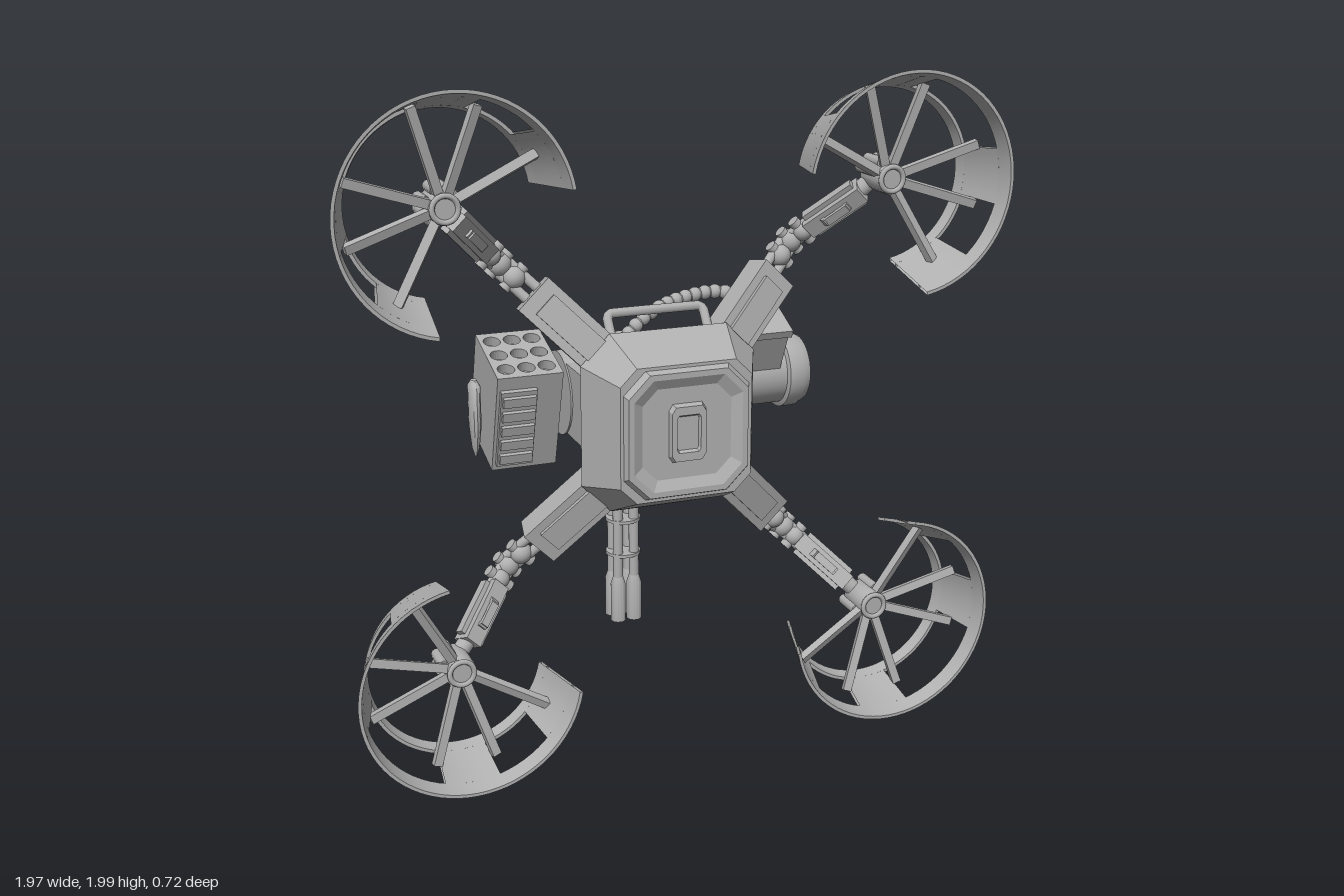
import * as THREE from 'three';
import { toCreasedNormals } from 'three/addons/utils/BufferGeometryUtils.js';

const V = (x, y, z) => new THREE.Vector3(x, y, z);
const rad = THREE.MathUtils.degToRad;
const grey = new THREE.MeshStandardMaterial({ color: 0xb0b0b0, side: THREE.DoubleSide });
grey.name = 'plain grey';

function add(parent, name, geo, x = 0, y = 0, z = 0) {
  const m = new THREE.Mesh(geo, grey);
  m.name = name;
  m.position.set(x, y, z);
  parent.add(m);
  return m;
}
const box = (p, name, w, h, d, x, y, z) => add(p, name, new THREE.BoxGeometry(w, h, d), x, y, z);

// square beam between two points
function beam(p, name, a, b, w, h) {
  const m = new THREE.Mesh(new THREE.BoxGeometry(w, h, a.distanceTo(b)), grey);
  m.name = name;
  m.position.copy(a).lerp(b, 0.5);
  m.lookAt(b);
  p.add(m);
}
// round rod between two points
function rod(p, name, a, b, r, n = 16) {
  const m = add(p, name, new THREE.CylinderGeometry(r, r, a.distanceTo(b), n));
  m.position.copy(a).lerp(b, 0.5);
  m.quaternion.setFromUnitVectors(V(0, 1, 0), b.clone().sub(a).normalize());
}
// turned part from [radius, height] points, with crisp edges
function turned(points, n = 32, start = 0, length = Math.PI * 2) {
  const g = new THREE.LatheGeometry(points.map(q => new THREE.Vector2(q[0], q[1])), n, start, length);
  return toCreasedNormals(g, 0.5);
}
// chamfered-square hull through rings of [half size, chamfer, z], back to front
function hull(rings) {
  const pos = [];
  const loops = rings.map(([h, c, z]) => {
    const e = h - c;
    return [[h, -e], [h, e], [e, h], [-e, h], [-h, e], [-h, -e], [-e, -h], [e, -h]].map(q => [q[0], q[1], z]);
  });
  for (let i = 0; i + 1 < loops.length; i++) for (let j = 0; j < 8; j++) {
    const k = (j + 1) % 8, a = loops[i][j], b = loops[i][k], c = loops[i + 1][k], d = loops[i + 1][j];
    pos.push(...a, ...b, ...c, ...a, ...c, ...d);
  }
  const first = loops[0], last = loops[loops.length - 1];
  for (let j = 1; j < 7; j++) {
    pos.push(...first[0], ...first[j + 1], ...first[j]);
    pos.push(...last[0], ...last[j], ...last[j + 1]);
  }
  const g = new THREE.BufferGeometry();
  g.setAttribute('position', new THREE.Float32BufferAttribute(pos, 3));
  g.computeVertexNormals();
  return g;
}

// section of the conical rotor guard, in degrees and z
function guardBand(p, name, a0, a1, z0, z1) {
  const r = z => 0.265 + (z - 0.15) * 0.286, t = 0.01;
  const g = turned([[r(z0), z0], [r(z1), z1], [r(z1) - t, z1], [r(z0) - t, z0], [r(z0), z0]],
    Math.ceil((a1 - a0) / 5), rad(a0 + 90), rad(a1 - a0));
  add(p, name, g.rotateX(Math.PI / 2));
}

function rotor() {
  const g = new THREE.Group();
  g.name = 'rotor';
  guardBand(g, 'guardFrontRim', -125, 125, 0.315, 0.36);
  guardBand(g, 'guardBackRim', -125, 125, 0.15, 0.185);
  for (const [a, b] of [[-125, -92], [-60, -29], [29, 60], [92, 125]]) guardBand(g, 'guardPanel', a, b, 0.185, 0.315);
  for (const deg of [-106, -63, -27, 27, 63, 106]) {
    const c = Math.cos(rad(deg)), s = Math.sin(rad(deg));
    beam(g, 'spoke', V(c * 0.03, s * 0.03, 0.205), V(c * 0.285, s * 0.285, 0.24), 0.022, 0.026);
    rod(g, 'hubLug', V(c * 0.046, s * 0.046, 0.105), V(c * 0.046, s * 0.046, 0.195), 0.017, 10);
  }
  add(g, 'hub', turned([[0, 0.1], [0.035, 0.1], [0.045, 0.12], [0.045, 0.21], [0.038, 0.23], [0, 0.23]], 20).rotateX(Math.PI / 2));
  add(g, 'hubCap', new THREE.TorusGeometry(0.036, 0.008, 8, 24), 0, 0, 0.23);
  return g;
}

// arm and rotor, built outward along local x
function arm() {
  const g = new THREE.Group();
  g.name = 'rotorArm';
  beam(g, 'upperArm', V(0.27, 0, 0.11), V(0.53, 0, 0.04), 0.09, 0.125);
  beam(g, 'upperArmCover', V(0.31, 0, 0.145), V(0.5, 0, 0.092), 0.03, 0.075);
  for (const s of [-1, 1]) {
    rod(g, 'linkRod', V(0.52, s * 0.022, 0.03), V(0.63, s * 0.022, -0.01), 0.015);
    rod(g, 'wristRod', V(0.66, s * 0.018, 0), V(0.73, s * 0.018, 0.03), 0.013);
    beam(g, 'forearmRail', V(0.72, s * 0.034, 0.025), V(0.87, s * 0.034, 0.12), 0.03, 0.016);
  }
  for (const [x, z, r] of [[0.59, 0.005, 0.034], [0.645, -0.01, 0.036], [0.69, 0.01, 0.032]]) {
    add(g, 'joint', new THREE.SphereGeometry(r, 16, 12), x, 0, z);
    rod(g, 'jointPin', V(x, -0.045, z), V(x, 0.045, z), 0.018);
  }
  beam(g, 'forearm', V(0.71, 0, 0.02), V(0.88, 0, 0.13), 0.066, 0.054);
  // small grab loop on the forearm
  const loop = [V(0.74, 0, 0.05), V(0.745, 0, 0.095), V(0.81, 0, 0.135), V(0.83, 0, 0.1)];
  for (let i = 0; i < 3; i++) beam(g, 'forearmLoop', loop[i], loop[i + 1], 0.012, 0.025);
  rod(g, 'hubMount', V(0.86, 0, 0.115), V(0.95, 0, 0.14), 0.026);
  const r = rotor();
  r.position.x = 0.941;
  g.add(r);
  return g;
}

function body() {
  const g = new THREE.Group();
  g.name = 'body';
  g.position.y = 1;
  // shell with a shallow recess in the back
  add(g, 'shell', hull([[0.15, 0.045, 0.06], [0.165, 0.045, 0.02], [0.2, 0.05, 0.015], [0.268, 0.088, 0.15], [0.2, 0.05, 0.295]]));
  // raised octagonal front frame with a sunken middle
  add(g, 'frontFrame', hull([[0.195, 0.065, 0.285], [0.182, 0.065, 0.314], [0.165, 0.058, 0.314], [0.135, 0.045, 0.298]]));
  add(g, 'hatch', hull([[0.058, 0.012, 0.29], [0.052, 0.012, 0.315], [0.036, 0.006, 0.315], [0.032, 0.004, 0.305]]))
    .scale.y = 1.55;
  for (const s of [0, Math.PI]) {
    const path = [V(-0.15, 0.23, 0.09), V(-0.15, 0.285, 0.05), V(-0.135, 0.298, 0.04),
      V(0.135, 0.298, 0.04), V(0.15, 0.285, 0.05), V(0.15, 0.23, 0.09)];
    add(g, 'handle', new THREE.TubeGeometry(new THREE.CatmullRomCurve3(path, false, 'catmullrom', 0.1), 40, 0.015, 8))
      .rotation.z = s;
  }
  add(g, 'rearMount', turned([[0, -0.07], [0.11, -0.07], [0.11, -0.02], [0.105, 0.02], [0.066, 0.085], [0.06, 0.1],
    [0.05, 0.2], [0, 0.2]]).rotateX(-Math.PI / 2));
  return g;
}

// turret slung behind the body
function turret() {
  const g = new THREE.Group();
  g.name = 'turret';
  g.position.set(0, 1, -0.2);
  for (const s of [-1, 1]) {
    box(g, 'yokeArm', 0.05, 0.22, 0.24, s * 0.195, 0, 0.1);
    rod(g, 'yokeRing', V(s * 0.17, 0, 0), V(s * 0.225, 0, 0), 0.13, 32);
    rod(g, 'braceRod', V(-0.2, s * 0.04, 0.135), V(0.2, s * 0.04, 0.135), 0.009);
  }
  rod(g, 'crossDrum', V(-0.28, 0, -0.045), V(0.26, 0, -0.045), 0.076, 32);
  // side drum with a hollow lens end
  add(g, 'sideDrum', turned([[0, 0.22], [0.1, 0.22], [0.1, 0.255], [0.12, 0.255], [0.12, 0.295], [0.105, 0.295],
    [0.105, 0.5], [0.12, 0.505], [0.12, 0.55], [0.105, 0.58], [0.085, 0.58], [0.08, 0.555], [0, 0.555]])
    .rotateZ(-Math.PI / 2));
  // upright gun housing
  add(g, 'gunHousing', turned([[0, -0.25], [0.065, -0.25], [0.078, -0.235], [0.078, -0.19], [0.1, -0.17], [0.115, -0.165],
    [0.115, 0.125], [0.105, 0.135], [0.05, 0.135], [0.05, 0.15], [0, 0.15]]), 0, 0, -0.045);
  for (const x of [-0.027, 0.027]) for (const z of [-0.072, -0.018]) {
    rod(g, 'barrel', V(x, -0.75, z), V(x, -0.24, z), 0.016);
    add(g, 'muzzle', turned([[0.012, -0.75], [0.012, -0.797], [0.024, -0.797], [0.024, -0.67], [0.016, -0.645]], 16), x, 0, z);
  }
  for (const y of [-0.455, -0.57]) rod(g, 'barrelClamp', V(0, y - 0.005, -0.045), V(0, y + 0.005, -0.045), 0.056, 24);

  // ammunition box and ribbed feed hose
  const ammo = new THREE.Group();
  ammo.name = 'ammoBox';
  ammo.position.set(0.408, 0.13, 0.068);
  ammo.rotation.x = rad(25);
  box(ammo, 'boxBody', 0.135, 0.17, 0.14, 0, -0.005, 0);
  box(ammo, 'boxLid', 0.15, 0.025, 0.155, 0, 0.068, 0);
  g.add(ammo);
  const path = new THREE.CatmullRomCurve3([V(0.41, 0.17, 0.0), V(0.405, 0.225, -0.04), V(0.35, 0.25, -0.08),
    V(0.2, 0.235, -0.09), V(0.08, 0.195, -0.06), V(0, 0.13, -0.045)]);
  add(g, 'feedHose', new THREE.TubeGeometry(path, 40, 0.017, 10));
  for (const q of path.getSpacedPoints(16)) add(g, 'hoseRib', new THREE.SphereGeometry(0.023, 12, 8), q.x, q.y, q.z);
  return g;
}

// tilted launcher pod with perforated ends
function launcher() {
  const g = new THREE.Group();
  g.name = 'launcher';
  g.position.set(-0.365, 1, -0.18);
  const pod = new THREE.Group();
  pod.name = 'pod';
  pod.rotation.x = rad(17);
  g.add(pod);
  box(pod, 'podBody', 0.2, 0.265, 0.25, 0, 0, 0);
  const face = new THREE.Shape([[-0.1, -0.125], [0.1, -0.125], [0.1, 0.125], [-0.1, 0.125]].map(q => new THREE.Vector2(...q)));
  for (let i = -1; i < 2; i++) for (let j = -1; j < 2; j++)
    face.holes.push(new THREE.Path().absarc(i * 0.062, j * 0.078, 0.026, 0, Math.PI * 2, true));
  const plate = new THREE.ExtrudeGeometry(face, { depth: 0.03, bevelEnabled: false, curveSegments: 10 }).rotateX(-Math.PI / 2);
  add(pod, 'tubePlate', plate, 0, 0.1325, 0);
  add(pod, 'lowerTubePlate', plate, 0, -0.1625, 0);
  // ribbed front cover
  box(pod, 'frontCover', 0.11, 0.26, 0.02, -0.035, -0.01, 0.13);
  for (let i = 0; i < 5; i++) box(pod, 'louver', 0.1, 0.03, 0.02, -0.035, -0.11 + i * 0.05, 0.143);
  // slim blade beside the pod
  add(g, 'sideBlade', turned([[0, -0.135], [0.011, -0.1], [0.018, -0.03], [0.018, 0.09], [0.008, 0.108], [0, 0.108]], 12), -0.157, 0, 0.11)
    .scale.z = 1.8;
  return g;
}

export function createModel() {
  const model = new THREE.Group();
  model.name = 'quadrotorDrone';
  model.add(body(), turret(), launcher());
  for (const deg of [45.4, 134.6, 225.4, 314.6]) {
    const a = arm();
    a.position.y = 1;
    a.rotation.z = rad(deg);
    model.add(a);
  }
  return model;
}
